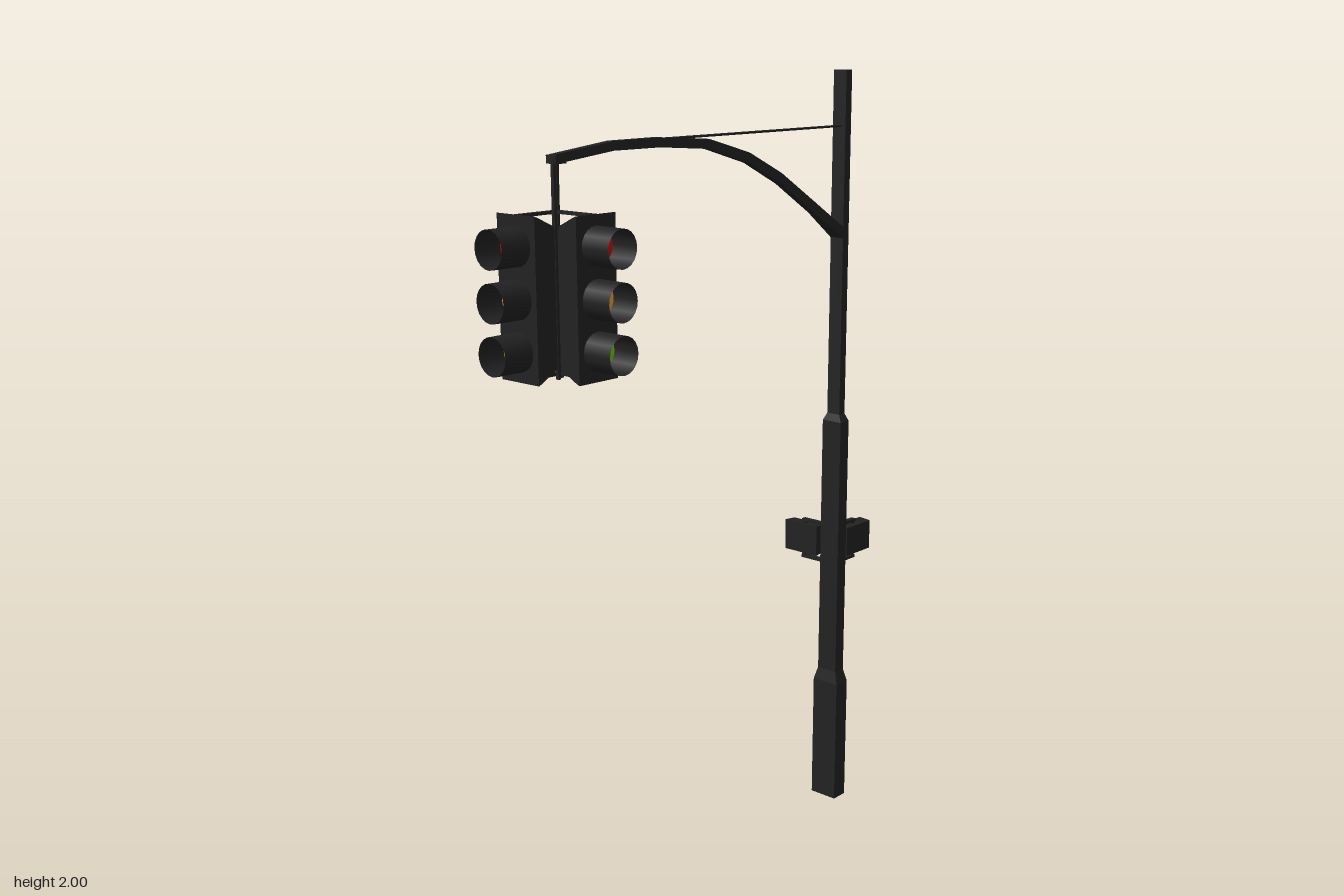
import * as THREE from 'three';

const paint = (color, side = THREE.FrontSide, flatShading = true) =>
  new THREE.MeshStandardMaterial({ color, side, flatShading });

export function createModel() {
  const root = new THREE.Group();
  const dark = paint(0x222222);
  const hood = paint(0x222222, THREE.DoubleSide, false);
  const lampMats = [0xd80000, 0xeca338, 0x6fd000].map(c => paint(c, THREE.FrontSide, false));
  const PX = -0.015, PZ = -0.52; // pole axis

  function add(parent, name, geo, mat, x = 0, y = 0, z = 0) {
    const m = new THREE.Mesh(geo, mat);
    m.name = name;
    m.position.set(x, y, z);
    parent.add(m);
    return m;
  }

  // box swept along z through stations [z, y, width, height]
  function loft(stations) {
    const n = stations.length - 1;
    const g = new THREE.BoxGeometry(1, 1, 1, 1, 1, n);
    const p = g.attributes.position;
    for (let i = 0; i < p.count; i++) {
      const [z, y, w, h] = stations[Math.round((p.getZ(i) + 0.5) * n)];
      p.setXYZ(i, p.getX(i) * w, y + p.getY(i) * h, z);
    }
    g.computeVertexNormals();
    return g;
  }

  // stepped pole, lofted along z then stood upright
  const pole = loft([
    [0, 0, 0.08, 0.047], [0.345, 0, 0.08, 0.047], [0.38, 0, 0.06, 0.035],
    [1.09, 0, 0.06, 0.035], [1.11, 0, 0.04, 0.023], [2, 0, 0.04, 0.023],
  ]).rotateX(-Math.PI / 2);
  add(root, 'pole', pole, dark, PX, 0, PZ);

  // curved arm, flared where it meets the pole
  add(root, 'arm', loft([
    [-0.515, 1.588, 0.044, 0.028], [-0.4, 1.665, 0.021, 0.028], [-0.267, 1.746, 0.02, 0.027],
    [-0.145, 1.803, 0.02, 0.025], [0, 1.843, 0.02, 0.023], [0.167, 1.855, 0.02, 0.022],
    [0.315, 1.855, 0.02, 0.021], [0.49, 1.836, 0.02, 0.02],
  ]), dark, PX);

  // stay cable
  add(root, 'stayCable', new THREE.CylinderGeometry(0.003, 0.003, 0.69, 6).rotateX(Math.PI / 2),
    dark, PX + 0.005, 1.862, -0.17);

  // hanger: end block and two upright rods
  const HX = -0.028, HZ = 0.467;
  add(root, 'hangerBlock', new THREE.BoxGeometry(0.032, 0.018, 0.03), dark, -0.021, 1.835, 0.473);
  for (const [x, z] of [[HX, HZ], [-0.016, 0.487]])
    add(root, 'hangerRod', new THREE.BoxGeometry(0.009, 0.48, 0.007), dark, x, 1.6, z);

  // signal head facing local +z
  function signalHead(name) {
    const g = new THREE.Group();
    g.name = name;
    add(g, 'housing', loft([[-0.032, 0, 0.098, 0.305], [0.02, 0, 0.115, 0.35], [0.033, 0, 0.117, 0.36]]), dark);
    lampMats.forEach((mat, i) => {
      const y = 0.113 * (1 - i);
      const dome = new THREE.SphereGeometry(0.042, 20, 8, 0, Math.PI * 2, 0, Math.PI / 2)
        .rotateX(Math.PI / 2).scale(1, 1, 0.6);
      add(g, 'lamp', dome, mat, 0, y, 0.033);
      const tube = new THREE.CylinderGeometry(0.043, 0.0435, 0.08, 20, 1, true).rotateX(Math.PI / 2);
      add(g, 'visor', tube, hood, 0, y, 0.071);
    });
    // brackets running back to the hanger
    for (const s of [-1, 1])
      add(g, 'bracket', new THREE.BoxGeometry(0.012, 0.007, 0.118), dark, 0, s * 0.1765, -0.029);
    root.add(g);
    return g;
  }
  signalHead('frontSignal').position.set(HX, 1.547, 0.555);
  const side = signalHead('sideSignal');
  side.position.set(0.06, 1.547, 0.47);
  side.rotation.y = Math.PI / 2;

  // pedestrian box reaching out along local -z, with clamp bars above and below
  function pedestrianBox(name, reach, offset) {
    const g = new THREE.Group();
    g.name = name;
    const box = loft([[-0.018, 0, 0.104, 0.08], [0.018, 0, 0.109, 0.084]]).rotateY(-Math.PI / 2);
    add(g, 'box', box, dark, offset, 0.742, -reach);
    for (const s of [-1, 1]) {
      const y = 0.741 + s * 0.052;
      add(g, 'clampBar', new THREE.BoxGeometry(0.014, 0.008, reach), dark, 0, y, -reach / 2);
      add(g, 'clampPin', new THREE.BoxGeometry(0.01, 0.02, 0.01), dark, 0, y - s * 0.008, -reach + 0.006);
    }
    g.position.set(PX, 0, PZ);
    root.add(g);
    return g;
  }
  pedestrianBox('rearPedestrianBox', 0.09, 0);
  pedestrianBox('sidePedestrianBox', 0.104, 0.007).rotation.y = Math.PI / 2;

  return root;
}
